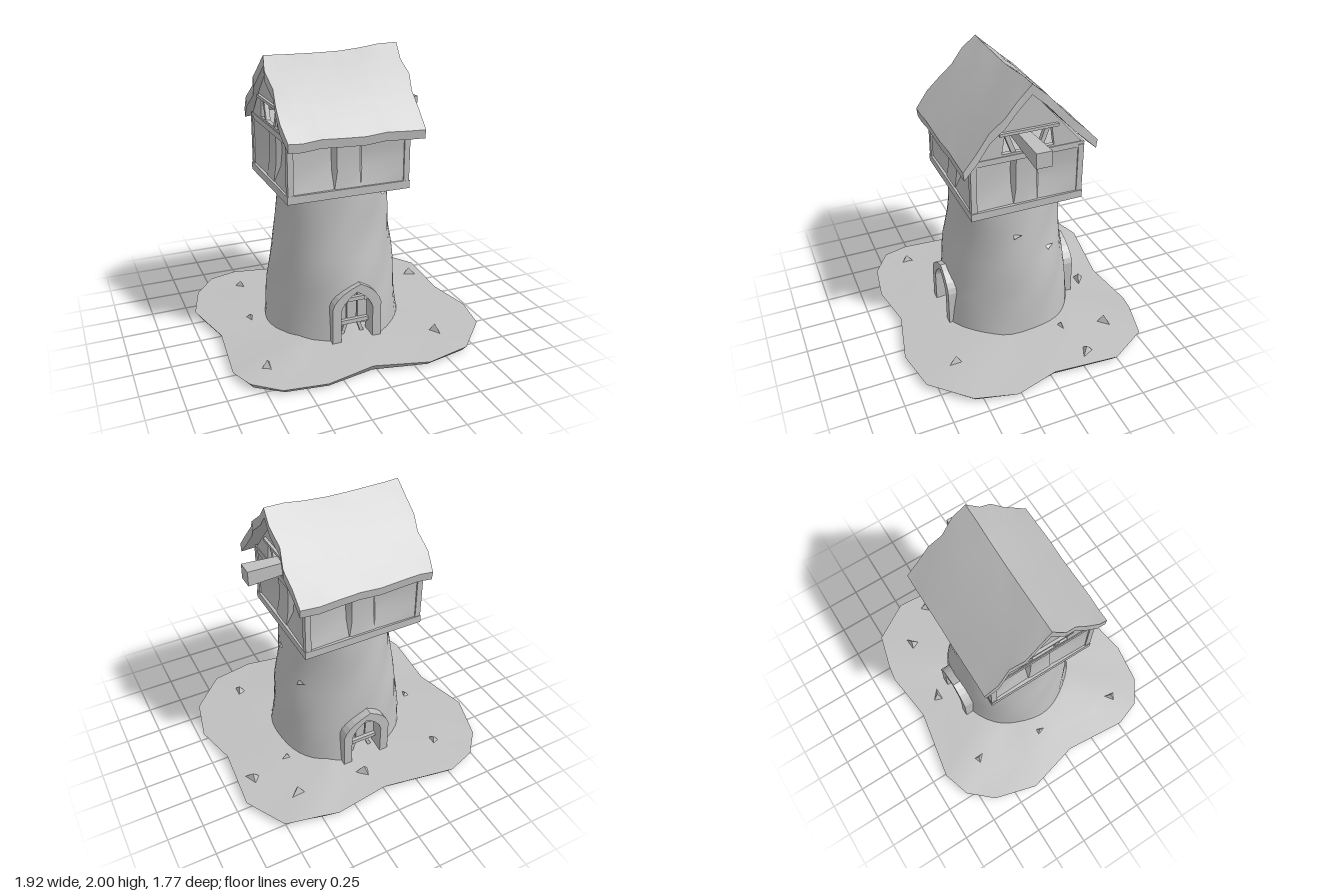
import * as THREE from 'three';
import { toCreasedNormals } from 'three/addons/utils/BufferGeometryUtils.js';

const stone = new THREE.MeshStandardMaterial({ color: 0xc0c0c0, side: THREE.DoubleSide });
stone.name = 'paleStone';

function add(parent, name, geometry, x = 0, y = 0, z = 0) {
  const mesh = new THREE.Mesh(geometry, stone);
  mesh.name = name;
  mesh.position.set(x, y, z);
  parent.add(mesh);
  return mesh;
}

const box = (w, h, d) => new THREE.BoxGeometry(w, h, d);

// Skin rows of points with quads; skip(row, column) leaves holes
function skin(rows, closed, crease, skip = () => false) {
  const n = rows[0].length, index = [];
  for (let j = 0; j < rows.length - 1; j++) {
    for (let i = 0; i < (closed ? n : n - 1); i++) {
      if (skip(j, i)) continue;
      const a = j * n + i, b = j * n + (i + 1) % n;
      index.push(a, b, b + n, a, b + n, a + n);
    }
  }
  const g = new THREE.BufferGeometry();
  g.setAttribute('position', new THREE.Float32BufferAttribute(rows.flat(2), 3));
  g.setIndex(index);
  return toCreasedNormals(g, crease);
}

// Uneven island of ground
function ground() {
  const rim = [[-0.515, -0.89], [-0.72, -0.825], [-0.87, -0.655], [-0.96, -0.34], [-0.86, 0.05],
    [-0.9, 0.51], [-0.835, 0.695], [-0.66, 0.82], [-0.37, 0.86], [-0.03, 0.8], [0.35, 0.88],
    [0.66, 0.82], [0.9, 0.57], [0.965, 0.28], [0.89, -0.025], [0.925, -0.485], [0.76, -0.765],
    [0.51, -0.83], [0.39, -0.85], [0, -0.8]];
  const ring = (s, y, wave) => rim.map(([x, z], i) => [x * s, y + wave * Math.sin(i * 2.3), z * s]);
  return skin([ring(0, 0, 0), ring(0.97, 0, 0), ring(1, 0.035, 0.008), ring(0.75, 0.05, 0.012),
    ring(0.5, 0.068, 0.005), ring(0, 0.07, 0)], true, 0.7);
}

// Round tapering tower, open at the two doorways
function tower() {
  const profile = [[0.05, 0.49], [0.2, 0.476], [0.34, 0.462], [0.42, 0.453], [0.52, 0.443], [0.62, 0.428],
    [0.72, 0.412], [0.82, 0.4], [0.92, 0.391], [1.0, 0.385], [1.09, 0.376]];
  const n = 48;
  const rows = profile.map(([y, r]) => Array.from({ length: n }, (_, i) => {
    const t = i / n * Math.PI * 2;
    const rr = r + 0.006 * Math.sin(3 * t + 5 * y) + 0.005 * Math.sin(7 * t - 13 * y);
    return [Math.sin(t) * rr - 0.01, y, Math.cos(t) * rr - 0.005];
  }));
  return skin(rows, true, 1, (j, i) => {
    const k = i % 24, half = j < 2 ? 2 : j === 2 ? 1 : 0;
    return k < half || k >= 24 - half;
  });
}

function arch(Type, w, spring, top, lean) {
  const s = new Type();
  s.moveTo(-w, 0.05);
  s.lineTo(w, 0.05);
  s.lineTo(w, spring);
  s.quadraticCurveTo(w * 0.85, top - 0.06, lean, top);
  s.quadraticCurveTo(-w * 0.85, top - 0.06, -w, spring);
  s.lineTo(-w, 0.05);
  return s;
}

// Pointed stone arch with a planked door behind it
function doorway(name) {
  const g = new THREE.Group();
  g.name = name;
  const shape = arch(THREE.Shape, 0.18, 0.32, 0.48, 0.025);
  shape.holes.push(arch(THREE.Path, 0.117, 0.29, 0.425, 0));
  const frame = new THREE.ExtrudeGeometry(shape, { depth: 0.12, bevelEnabled: false, curveSegments: 5 });
  add(g, 'archFrame', frame, 0, 0, 0.365);
  [-0.078, 0, 0.078].forEach((x, i) => add(g, 'doorPlank', box(0.07, 0.25, 0.02), x, i === 1 ? 0.27 : 0.25, 0.38));
  for (const y of [0.165, 0.335]) add(g, 'doorBar', box(0.23, 0.03, 0.03), 0, y, 0.4);
  for (const s of [-1, 1]) {
    const leg = add(g, 'doorBrace', box(0.025, 0.11, 0.02), s * 0.06, 0.11, 0.39);
    leg.rotation.z = s * 0.35;
  }
  return g;
}

// Wall surface sinking inwards on both sides of a broad middle stud
function wallPanel(w) {
  const g = new THREE.PlaneGeometry(w, 0.36, 5, 3);
  const xs = [-0.5, -0.13, -0.1, 0.1, 0.13, 0.5], depth = [0, 0.07, 0.025, 0.025, 0.06, 0];
  const p = g.attributes.position;
  for (let i = 0; i < p.count; i++) {
    const c = i % 6, r = Math.floor(i / 6);
    p.setX(i, xs[c] * w);
    p.setZ(i, -depth[c] * [0.8, 1, 0.8, 0.1][r]);
  }
  return toCreasedNormals(g, 0.5);
}

function house() {
  const g = new THREE.Group(), hx = 0.435, hz = 0.395;
  g.name = 'house';
  add(g, 'floorSlab', box(hx * 2, 0.055, hz * 2), 0, 1.1075, 0);
  add(g, 'atticFloor', box(hx * 2 - 0.02, 0.04, hz * 2), 0, 1.485, 0);
  for (const x of [-1, 1]) for (const z of [-1, 1]) {
    add(g, 'cornerPost', box(0.04, 0.36, 0.04), x * (hx - 0.025), 1.305, z * (hz - 0.022));
  }
  for (let k = 0; k < 4; k++) {
    const side = k % 2, out = side ? hx - 0.012 : hz - 0.01;
    const t = k * Math.PI / 2;
    const panel = add(g, 'wallPanel', wallPanel(side ? hz * 2 - 0.06 : hx * 2 - 0.06),
      Math.sin(t) * out, 1.305, Math.cos(t) * out);
    panel.rotation.y = t;
  }
  // Gables with a low hatch
  const shape = new THREE.Shape([[-0.39, 1.49], [0.39, 1.49], [0, 1.93]].map(p => new THREE.Vector2(...p)));
  shape.holes.push(new THREE.Path([[-0.18, 1.52], [-0.16, 1.655], [0.16, 1.655], [0.18, 1.52]].map(p => new THREE.Vector2(...p))));
  for (const s of [-1, 1]) {
    const gable = add(g, 'gable', new THREE.ExtrudeGeometry(shape, { depth: 0.03, bevelEnabled: false }), s * 0.405 - 0.015, 0, 0);
    gable.rotation.y = Math.PI / 2;
    add(g, 'hatchLintel', box(0.03, 0.02, 0.4), s * 0.425, 1.665, 0);
    for (const z of [-0.11, 0.12]) {
      const strut = add(g, 'hatchStrut', box(0.03, 0.17, 0.03), s * 0.4, 1.58, z);
      strut.rotation.x = z * 3;
    }
  }
  g.position.set(-0.025, 0, -0.015);
  return g;
}

// Sagging gabled roof, thick and ragged at the edges
function roof(parent) {
  const m = 5, xs = [0.47, 0.33, 0.2, 0.05, -0.1, -0.25, -0.38, -0.485];
  const ridge = [2, 1.998, 1.98, 1.968, 1.966, 1.968, 1.97, 1.975];
  const rings = xs.map((x, k) => {
    const end = k === 0 || k === xs.length - 1;
    const outer = [], inner = [];
    for (let i = -m; i <= m; i++) {
      const f = Math.abs(i) / m, back = i > 0;
      const wave = 0.008 * Math.sin(k * 2.1 + i * 1.7) * (f > 0 ? 1 : 0);
      const px = x + (end ? 0.014 * Math.sin(i * 2.4 + k) : 0);
      const eaveY = back ? 1.525 : 1.505, eaveZ = back ? 0.47 : 0.452;
      const y = ridge[k] + (eaveY - ridge[k]) * f + 0.012 * Math.sin(f * Math.PI) + wave;
      const z = -Math.sign(i) * eaveZ * f;
      outer.push([px, y, z]);
      inner.push([px, y - (f === 1 ? 0.06 : 0.07), z * 0.985]);
    }
    return { outer, inner };
  });
  const last = rings[rings.length - 1];
  add(parent, 'roof', skin(rings.map(r => [...r.outer, ...[...r.inner].reverse()]), true, 0.6));
  add(parent, 'roofRightVerge', skin([rings[0].inner, rings[0].outer], false, 0.6));
  add(parent, 'roofLeftVerge', skin([last.outer, last.inner], false, 0.6));
}

export function createModel() {
  const model = new THREE.Group();
  model.name = 'watchtower';
  add(model, 'ground', ground());
  add(model, 'tower', tower());

  const front = doorway('frontDoorway'), back = doorway('backDoorway');
  front.position.x = back.position.x = -0.012;
  back.position.z = -0.02;
  back.rotation.y = Math.PI;
  model.add(front, back, house());
  roof(model);

  // Hoist beam, flaring towards its free end
  const beam = new THREE.CylinderGeometry(0.076, 0.05, 0.5, 4, 1).rotateY(Math.PI / 4).rotateZ(-Math.PI / 2);
  add(model, 'hoistBeam', toCreasedNormals(beam, 0.5), 0.38, 1.567, -0.015);

  // Loose shards on the ground: x, z, height, turn
  const shards = [[-0.54, -0.6, 0.05, 0.4], [0.07, -0.62, 0.06, 1.2], [0.57, -0.57, 0.06, 2], [0.8, -0.31, 0.05, 0.8],
    [-0.68, 0.56, 0.06, 2.6], [0.55, 0.57, 0.06, 0.3], [0.51, -0.25, 0.05, 1.7], [-0.61, -0.08, 0.04, 0]];
  for (const [x, z, h, turn] of shards) {
    const shard = add(model, 'groundShard', new THREE.ConeGeometry(0.04, h, 3).toNonIndexed(), x, 0.045 + h / 2, z);
    shard.geometry.computeVertexNormals();
    shard.rotation.y = turn;
    shard.scale.z = 1.5;
  }

  // Chips standing off the tower wall: angle, height, radius
  for (const [t, y, r] of [[-1.2, 0.68, 0.41], [2.1, 0.69, 0.41], [1.45, 0.86, 0.39], [-2.4, 0.62, 0.42], [2.7, 1.04, 0.38], [0.75, 1.04, 0.38]]) {
    const chip = add(model, 'wallChip', new THREE.TetrahedronGeometry(0.03), Math.sin(t) * r, y, Math.cos(t) * r);
    chip.rotation.y = t;
    chip.scale.set(1.6, 0.7, 0.8);
  }
  return model;
}
